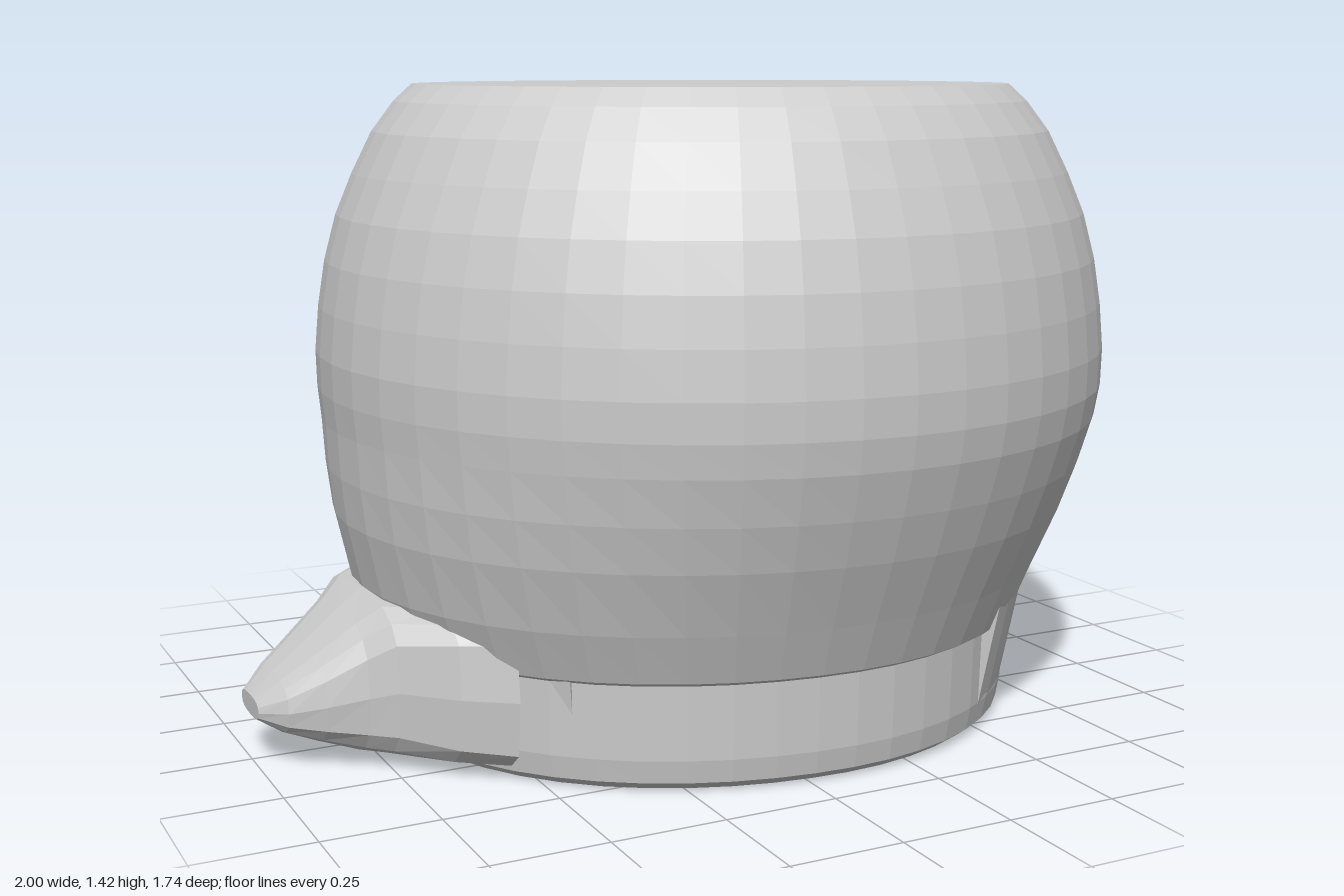
import * as THREE from 'three';

const material = new THREE.MeshStandardMaterial({ color: 0xcccccc, flatShading: true });

// Builds a flat-shaded mesh from corner positions and triangle indices
function makeMesh(name, positions, index) {
  const geometry = new THREE.BufferGeometry();
  geometry.setAttribute('position', new THREE.Float32BufferAttribute(positions, 3));
  geometry.setIndex(index);
  geometry.computeVertexNormals();
  const mesh = new THREE.Mesh(geometry, material);
  mesh.name = name;
  return mesh;
}

// Skins a list of rings; point(row, angle) gives one corner
function loft(name, rows, segments, point) {
  const positions = [], index = [];
  rows.forEach((row, i) => {
    for (let j = 0; j < segments; j++) {
      positions.push(...point(row, (j / segments) * Math.PI * 2));
      if (i === rows.length - 1) continue;
      const a = i * segments + j, c = i * segments + ((j + 1) % segments);
      index.push(a, c, a + segments, c, c + segments, a + segments);
    }
  });
  return makeMesh(name, positions, index);
}

// Curved panel on the skirt: angles in degrees, top height, outset at bottom and top
function skirtPanel([from, to, top, low, high]) {
  const rows = [[0.02, -0.03], [0.02, low - 0.02], [0.06, low], [top, high], [top, -0.03]];
  const steps = 8, n = steps + 1, positions = [], index = [];
  rows.forEach(([y, out], i) => {
    for (let j = 0; j <= steps; j++) {
      const t = THREE.MathUtils.degToRad(from + ((to - from) * j) / steps);
      positions.push(0.1 + (0.685 + out) * Math.cos(t), y, (0.665 + out) * Math.sin(t));
      if (i === rows.length - 1 || j === steps) continue;
      const a = i * n + j, b = a + n;
      index.push(a, b, a + 1, a + 1, b, b + 1);
    }
  });
  // Close both ends
  for (let i = 1; i < rows.length - 1; i++) {
    index.push(0, (i + 1) * n, i * n, steps, i * n + steps, (i + 1) * n + steps);
  }
  return makeMesh('skirtPanel', positions, index);
}

// Extra flare of the lower wall on the side that carries the peak
function flare(y, angle) {
  const side = Math.max(0, -Math.cos(angle));
  return 0.085 * side * side * THREE.MathUtils.clamp((0.72 - y) / 0.34, 0, 1);
}

export function createModel() {
  const group = new THREE.Group();
  group.name = 'cap';

  // Bulging crown: height and relative radius, from flat top to bottom rim
  const outer = [
    [1.435, 0], [1.435, 0.4], [1.432, 0.75], [1.395, 0.795], [1.33, 0.85], [1.24, 0.9],
    [1.15, 0.942], [1.05, 0.972], [0.95, 0.99], [0.85, 1], [0.77, 0.998], [0.7, 0.985],
    [0.6, 0.952], [0.5, 0.912], [0.36, 0.845], [0.25, 0.795], [0.24, 0.775], [0.08, 0.77],
    [0.03, 0.76], [0.01, 0.73],
  ].map(([y, r]) => ({ y, rx: 0.9 * r, rz: 0.868 * r, cx: 0.1, cz: 0, flared: true }));

  // Hollow inside, set towards the back so the front rim is thicker
  const inner = [[0.01, 1], [0.3, 1], [0.65, 1], [0.9, 0.8], [0.92, 0]]
    .map(([y, r]) => ({ y, rx: 0.6 * r, rz: 0.55 * r, cx: 0.08, cz: -0.06 }));

  group.add(loft('crown', [...outer, ...inner], 48, (row, t) => {
    const extra = row.flared ? flare(row.y, t) : 0;
    return [
      row.cx + (row.rx + extra) * Math.cos(t),
      row.y,
      row.cz + (row.rz + extra) * Math.sin(t),
    ];
  }));

  // Peak: sections along x with half width, bottom, top and corner roundness
  const sections = [
    [-1, 0, 0.13, 0.13, 0.7], [-1, 0.07, 0.11, 0.155, 0.7], [-0.95, 0.125, 0.08, 0.2, 0.7],
    [-0.88, 0.165, 0.055, 0.255, 0.65], [-0.8, 0.205, 0.03, 0.32, 0.6],
    [-0.75, 0.25, 0.025, 0.36, 0.55], [-0.65, 0.35, 0.02, 0.365, 0.45],
    [-0.55, 0.42, 0.02, 0.365, 0.4], [-0.55, 0, 0.19, 0.19, 1],
  ];
  const bulge = (v, power) => Math.sign(v) * Math.pow(Math.abs(v), power);
  group.add(loft('peak', sections, 16, ([x, w, low, high, power], t) => [
    x,
    (low + high) / 2 - ((high - low) / 2) * bulge(Math.sin(t), power),
    w * bulge(Math.cos(t), power),
  ]));

  // Right-hand steps, peak shoulder and the sloping panel at the back
  const panels = [
    [14, 56, 0.345, 0.0, 0.055], [-10, 14, 0.23, 0.005, 0.01], [-50, -10, 0.15, 0.005, 0.01],
    [139, 168, 0.36, 0.04, 0.08], [192, 218, 0.4, 0.04, 0.09], [218, 262, 0.45, 0.005, 0.1],
  ];
  panels.forEach((panel) => group.add(skirtPanel(panel)));

  return group;
}
